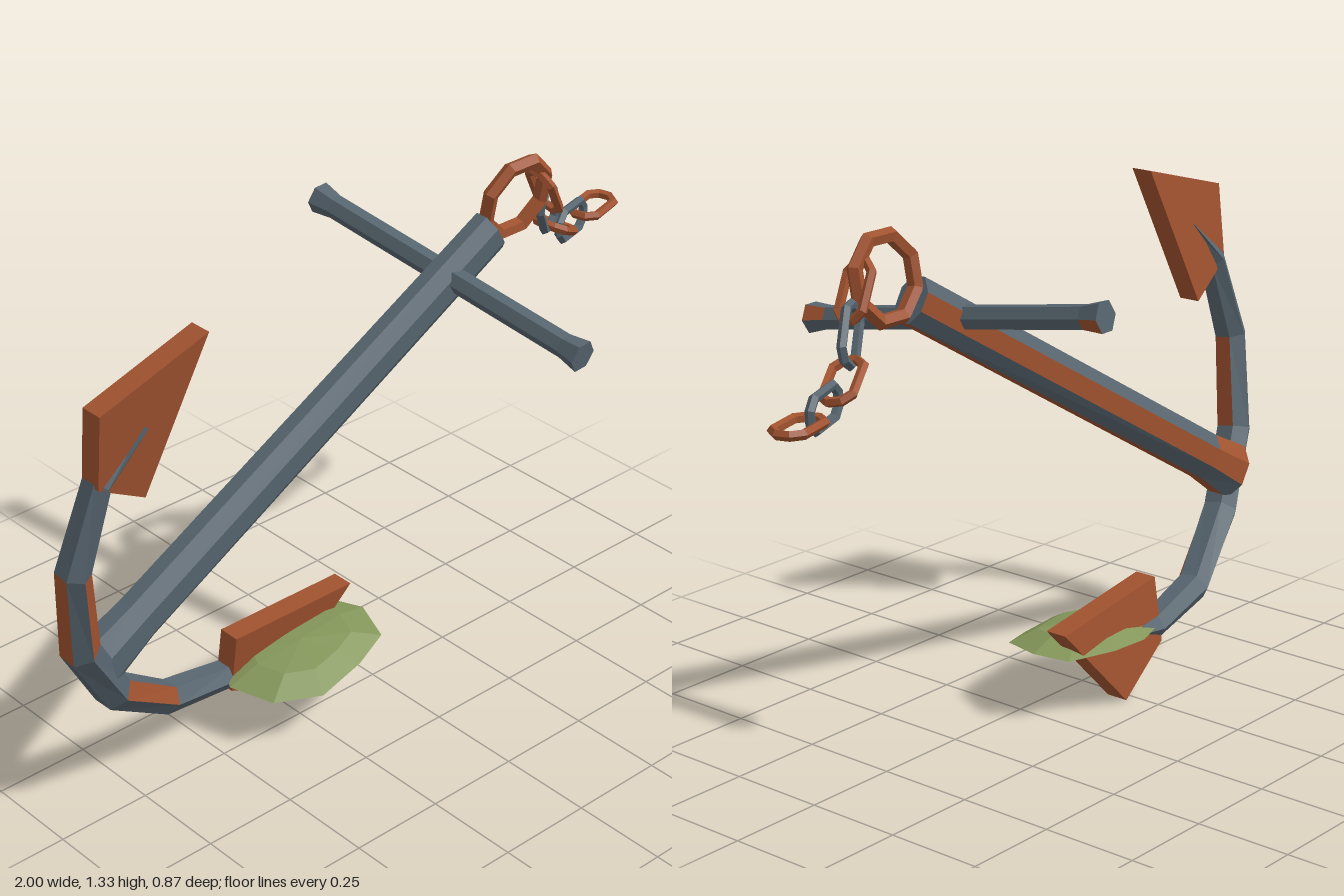
import * as THREE from 'three';

const V = (x, y, z) => new THREE.Vector3(x, y, z);

// Facets every face so the low-poly edges stay sharp
function faceted(geo) {
  const g = geo.index ? geo.toNonIndexed() : geo;
  g.computeVertexNormals();
  return g;
}

// Many-sided bar along a path of [x, y, z, halfInPlane, halfAcross]
// Corner 0 lies on the "across" axis, turned by a share of one side
// isRust(segment, side) picks the colour
function bar(path, sides, across, turn, isRust) {
  const pts = path.map(p => V(p[0], p[1], p[2]));
  const last = pts.length - 1;
  const rings = pts.map((p, i) => {
    const t = V(0, 0, 0);
    if (i > 0) t.add(pts[i].clone().sub(pts[i - 1]).normalize());
    if (i < last) t.add(pts[i + 1].clone().sub(pts[i]).normalize());
    t.normalize();
    const b = across.clone().addScaledVector(t, -across.dot(t)).normalize();
    const u = b.clone().cross(t);
    return Array.from({ length: sides }, (_, k) => {
      const a = (k + turn) * 2 * Math.PI / sides;
      return p.clone().addScaledVector(b, Math.cos(a) * path[i][4]).addScaledVector(u, Math.sin(a) * path[i][3]);
    });
  });
  const geo = new THREE.BufferGeometry();
  const verts = [];
  const tri = (...vs) => vs.forEach(v => verts.push(v.x, v.y, v.z));
  for (let i = 0; i < last; i++) {
    for (let k = 0; k < sides; k++) {
      const n = (k + 1) % sides;
      const [A, B, C, D] = [rings[i][k], rings[i + 1][k], rings[i + 1][n], rings[i][n]];
      geo.addGroup(verts.length / 3, 6, isRust(i, k) ? 1 : 0);
      tri(A, B, C);
      tri(A, C, D);
    }
  }
  geo.addGroup(verts.length / 3, sides * 6, 0);
  for (let k = 0; k < sides; k++) {
    const n = (k + 1) % sides;
    tri(pts[0], rings[0][k], rings[0][n]);
    tri(pts[last], rings[last][n], rings[last][k]);
  }
  geo.setAttribute('position', new THREE.Float32BufferAttribute(verts, 3));
  geo.computeVertexNormals();
  return geo;
}

// Thick plate cut in x/y, then leaned so that z = a + b x + c y
function flukePlate(corners, a, b, c) {
  const shape = new THREE.Shape(corners.map(p => new THREE.Vector2(p[0], p[1])));
  const geo = new THREE.ExtrudeGeometry(shape, { depth: 0.06, bevelEnabled: false });
  const pos = geo.attributes.position;
  for (let i = 0; i < pos.count; i++) {
    pos.setZ(i, pos.getZ(i) - 0.03 + a + b * pos.getX(i) + c * pos.getY(i));
  }
  return faceted(geo);
}

// Ring or chain link: long axis along dir, hole facing normal,
// its two halves pulled apart by "pull"
function link(center, dir, normal, radius, tube, pull) {
  const geo = new THREE.TorusGeometry(radius, tube, 5, 8);
  geo.rotateZ(Math.PI / 8);
  const pos = geo.attributes.position;
  for (let i = 0; i < pos.count; i++) {
    pos.setX(i, pos.getX(i) + Math.sign(pos.getX(i)) * pull);
  }
  const x = dir.clone().normalize();
  const z = normal.clone().addScaledVector(x, -normal.dot(x)).normalize();
  geo.applyMatrix4(new THREE.Matrix4().makeBasis(x, z.clone().cross(x), z).setPosition(center));
  return faceted(geo);
}

// Low mound: rim of [x, y, z] points, layers of [share of rim, height]
function mound(rim, center, layers) {
  const geo = new THREE.LatheGeometry(layers.map(l => new THREE.Vector2(l[0], l[1])), rim.length);
  const pos = geo.attributes.position;
  for (let i = 0; i < pos.count; i++) {
    const [x, y, z] = rim[Math.floor(i / layers.length) % rim.length];
    const [share, height] = layers[i % layers.length];
    const p = center.clone().lerp(V(x, y, z), share);
    pos.setXYZ(i, p.x, p.y + height, p.z);
  }
  return faceted(geo);
}

export function createModel() {
  const model = new THREE.Group();
  const iron = new THREE.MeshStandardMaterial({ color: 0x57656f });
  const rust = new THREE.MeshStandardMaterial({ color: 0xa0522f });
  const moss = new THREE.MeshStandardMaterial({ color: 0x84965a });
  iron.name = 'iron';
  rust.name = 'rust';
  moss.name = 'moss';
  const add = (name, geo, mat) => {
    const mesh = new THREE.Mesh(geo, mat);
    mesh.name = name;
    model.add(mesh);
  };
  const metal = [iron, rust];
  const front = V(0, 0, 1);

  // Shank: eight-sided, flared at the crown, rusted below and behind
  add('shank', bar([
    [-0.85, 0.435, -0.025, 0.08, 0.06],
    [-0.73, 0.507, -0.023, 0.067, 0.054],
    [0.39, 1.155, 0, 0.063, 0.045],
  ], 8, front, -0.5, (i, k) => k === 6 || k === 4 || (i === 0 && k === 3)), metal);

  // Curved arms between chisel tips that cut through the flukes
  add('arms', bar([
    [-0.785, 1.115, 0.097, 0.004, 0.037],
    [-0.895, 1.0, 0.082, 0.032, 0.043],
    [-0.965, 0.78, 0.065, 0.041, 0.047],
    [-0.928, 0.53, 0.02, 0.048, 0.05],
    [-0.81, 0.335, -0.025, 0.048, 0.05],
    [-0.61, 0.185, -0.085, 0.043, 0.047],
    [-0.4, 0.14, -0.11, 0.036, 0.043],
    [-0.24, 0.16, -0.114, 0.004, 0.037],
  ], 6, front, 0, (i, k) => (i === 2 && (k === 0 || k === 1 || k === 4)) || (i === 4 && k === 0)), metal);

  // Flukes
  add('upperFluke', flukePlate(
    [[-0.925, 1.2], [-0.92, 1.0], [-0.775, 0.913], [-0.605, 1.287]], -0.12, -0.083, 0.132), rust);
  add('lowerFluke', flukePlate(
    [[-0.405, 0.275], [-0.405, 0.105], [-0.22, 0.003], [0.005, 0.24]], -0.157, -0.074, 0.154), rust);

  // Cross stock with flared ends, one rusted face on each
  const stockAt = (s, r) => [0.245 + 0.035 * s, 1.083 - 0.067 * s, 0.43 * s, r, r];
  add('stock', bar([
    stockAt(-1, 0.041), stockAt(-0.87, 0.031), stockAt(0.87, 0.031), stockAt(1, 0.041),
  ], 6, V(1, 0, 0), 0, (i, k) => (i === 0 && k === 0) || (i === 2 && k === 5)), metal);

  // Shackle ring and chain links
  add('shackleRing', link(V(0.472, 1.22, 0.005), V(1, 0, 0), V(0, -0.2, 1), 0.102, 0.02, 0), rust);
  const links = [
    [V(0.57, 1.208, 0.008), V(0.07, -0.12, -0.02), V(1, 0.55, 0.1)],
    [V(0.627, 1.125, -0.03), V(0.08, -0.12, -0.05), V(0.3, 0, 1)],
    [V(0.697, 1.04, -0.07), V(0.12, -0.065, -0.06), V(0.45, 1, 0)],
    [V(0.798, 1.008, -0.11), V(0.15, -0.01, -0.05), V(0.3, 0, 1)],
    [V(0.914, 1.0, -0.145), V(0.14, 0, -0.04), V(0, 1, 0.02)],
  ];
  links.forEach(([c, d, n], i) =>
    add('chainLink' + (i + 1), link(c, d, n, 0.042, 0.0125, 0.031), i % 2 ? iron : rust));

  // Moss clump: flat underneath, faceted dome on top
  add('mossClump', mound([
    [-0.28, 0.14, 0.125], [-0.13, 0.15, 0.095], [-0.02, 0.165, 0.055], [0.02, 0.175, -0.06], [-0.01, 0.168, -0.15],
    [-0.15, 0.165, -0.188], [-0.27, 0.16, -0.188], [-0.385, 0.15, -0.14], [-0.435, 0.147, -0.05], [-0.395, 0.143, 0.07],
  ], V(-0.21, 0.155, -0.035), [[0, -0.032], [0.62, -0.026], [1, 0], [0.62, 0.03], [0, 0.042]]), moss);

  return model;
}
